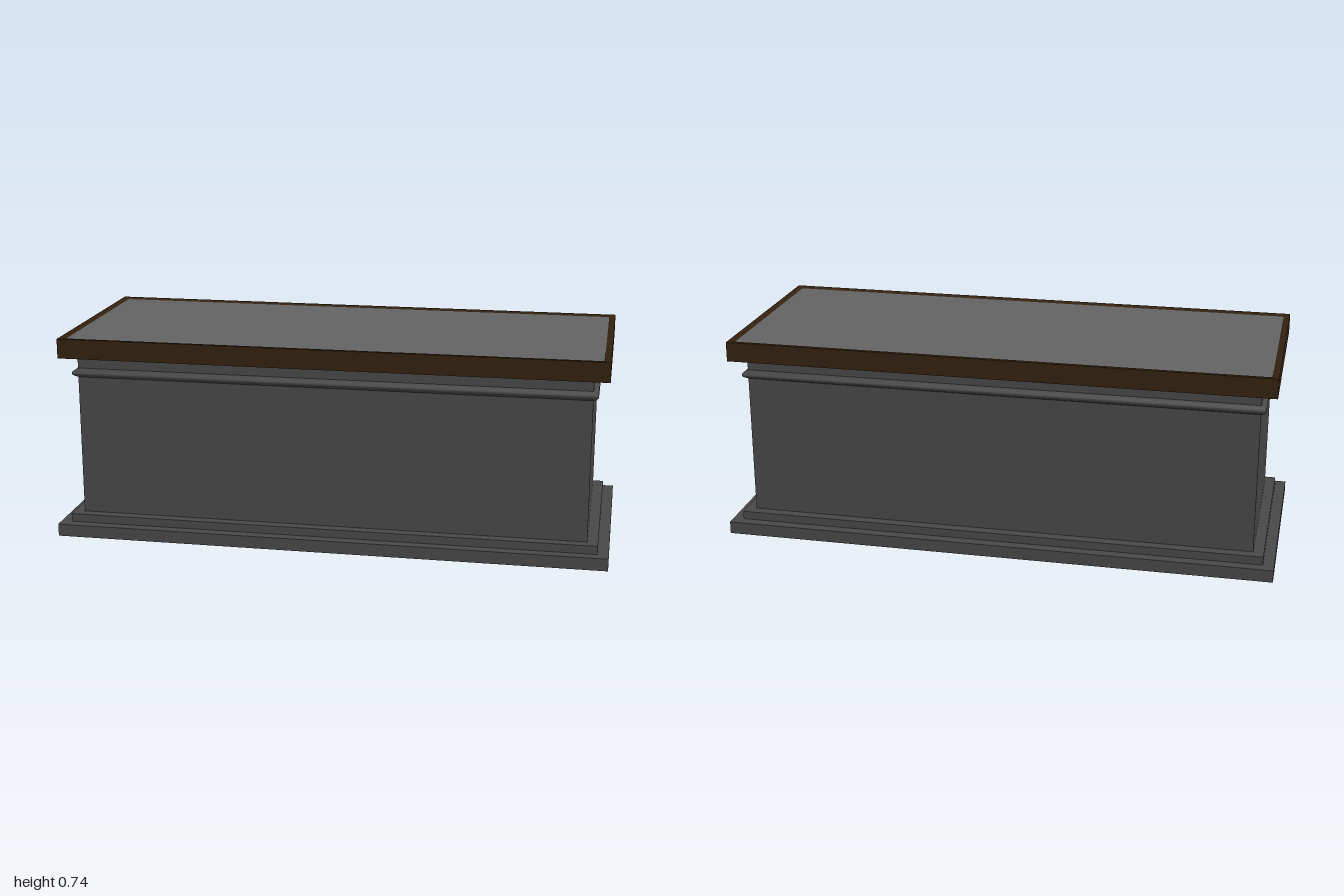
import * as THREE from 'three';
import { toCreasedNormals } from 'three/addons/utils/BufferGeometryUtils.js';

const CORNERS = [[-1, 1], [1, 1], [1, -1], [-1, -1]];
const EXTRA_LENGTH = 0.588; // half length minus half depth, the same for every tier

// Sweep a profile of [half depth, y] points around a mitred rectangle.
function rectangularMoulding(profile) {
  const positions = [];
  const point = ([sx, sz], [d, y]) => [sx * (d + EXTRA_LENGTH), y, sz * d];
  CORNERS.forEach((from, i) => {
    const to = CORNERS[(i + 1) % 4];
    for (let j = 0; j < profile.length - 1; j++) {
      const a = point(from, profile[j]);
      const b = point(to, profile[j]);
      const c = point(to, profile[j + 1]);
      const d = point(from, profile[j + 1]);
      positions.push(...a, ...b, ...c, ...a, ...c, ...d);
    }
  });
  const geometry = new THREE.BufferGeometry();
  geometry.setAttribute('position', new THREE.Float32BufferAttribute(positions, 3));
  return toCreasedNormals(geometry, THREE.MathUtils.degToRad(50));
}

export function createModel() {
  const model = new THREE.Group();
  const stone = new THREE.MeshStandardMaterial({ color: 0x484848 });
  const wood = new THREE.MeshStandardMaterial({ color: 0x33210f });
  const inlay = new THREE.MeshStandardMaterial({ color: 0x636363 });

  const add = (name, geometry, material) => {
    const mesh = new THREE.Mesh(geometry, material);
    mesh.name = name;
    model.add(mesh);
    return mesh;
  };
  const addTier = (name, halfDepth, y0, y1, material) => {
    const geometry = new THREE.BoxGeometry(2 * (halfDepth + EXTRA_LENGTH), y1 - y0, 2 * halfDepth);
    add(name, geometry, material).position.y = (y0 + y1) / 2;
  };

  // Stepped plinth and main block
  addTier('plinth', 0.411, 0, 0.045, stone);
  addTier('plinthStep', 0.372, 0.045, 0.075, stone);
  addTier('body', 0.334, 0.075, 0.667, stone);

  // Rounded band below the top
  const band = [
    [0.334, 0.588], [0.343, 0.593], [0.350, 0.599], [0.352, 0.605],
    [0.350, 0.611], [0.343, 0.616], [0.334, 0.621],
  ];
  add('moulding', rectangularMoulding(band), stone);

  // Wooden top frame with a small inner chamfer
  const frame = [
    [0.32, 0.667], [0.389, 0.667], [0.389, 0.738],
    [0.374, 0.738], [0.366, 0.733], [0.366, 0.72],
  ];
  add('topFrame', rectangularMoulding(frame), wood);

  // Inset top panel
  addTier('topPanel', 0.366, 0.69, 0.733, inlay);

  return model;
}
